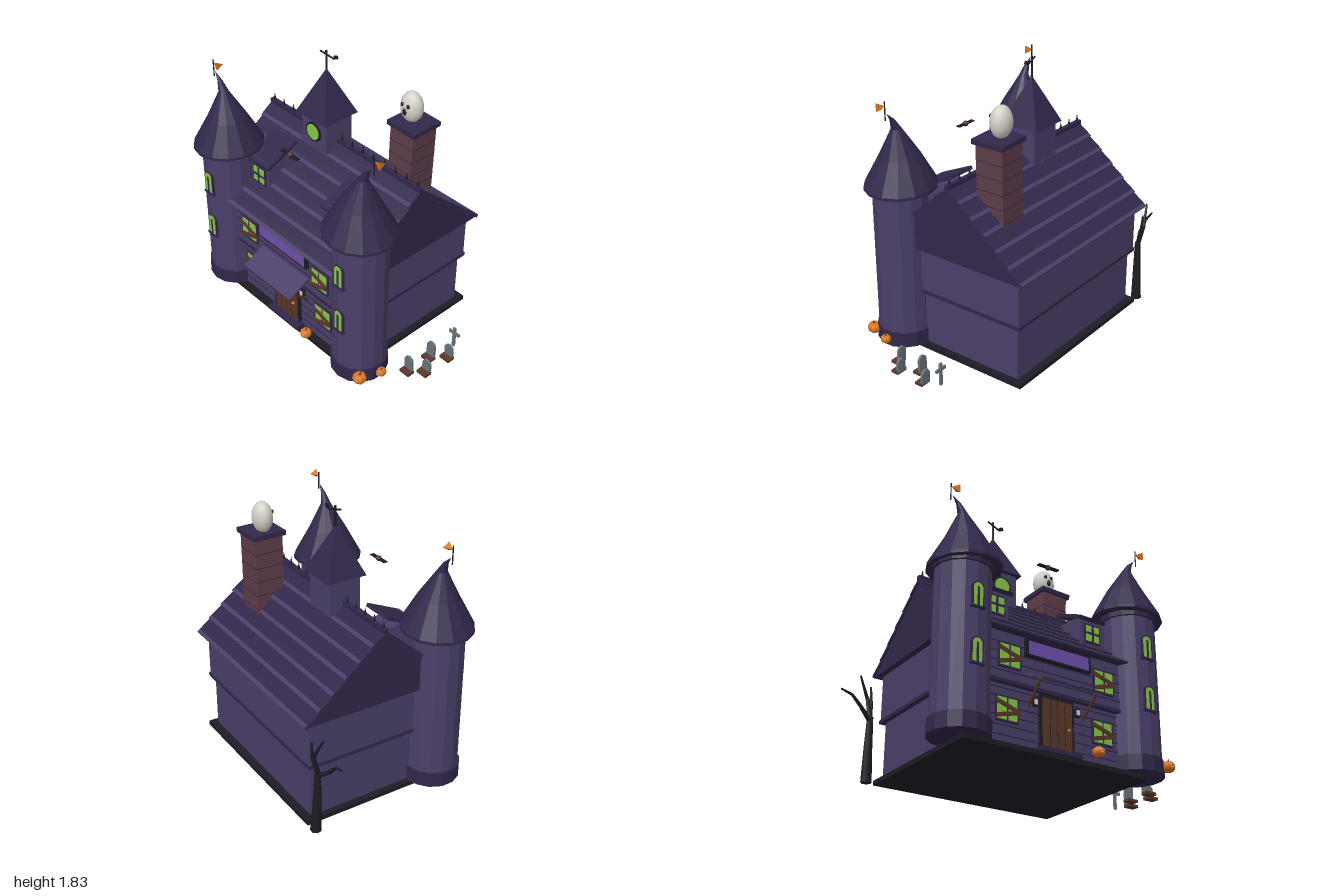
import * as THREE from 'three';

const mat = (name, color) => Object.assign(new THREE.MeshStandardMaterial({ color }), { name });
const M = {
  wall: mat('wall purple', 0x4a3f68), roof: mat('roof dark purple', 0x32274a),
  black: mat('near black', 0x1e1c24), glow: mat('window green', 0x88c646),
  wood: mat('wood brown', 0x5a3828), orange: mat('pumpkin orange', 0xd8741f),
  brick: mat('brick red', 0x5e3c48), bone: mat('bone white', 0xd4d1c8),
  stone: mat('grave grey', 0x68747c), sign: mat('sign violet', 0x6c50ac),
};

function add(parent, name, geo, material, x = 0, y = 0, z = 0) {
  const m = new THREE.Mesh(geo, material);
  m.name = name;
  m.position.set(x, y, z);
  parent.add(m);
  return m;
}
function group(parent, name, x = 0, y = 0, z = 0) {
  const g = new THREE.Group();
  g.name = name;
  g.position.set(x, y, z);
  parent.add(g);
  return g;
}
const box = (p, name, m, w, h, d, x, y, z) => add(p, name, new THREE.BoxGeometry(w, h, d), m, x, y, z);

// faceted normals without changing the material
function flat(geo) {
  const g = geo.index ? geo.toNonIndexed() : geo;
  g.computeVertexNormals();
  return g;
}
function ball(p, name, m, r, x, y, z, sx = 1, sy = 1, sz = 1) {
  const b = add(p, name, new THREE.SphereGeometry(r, 14, 10), m, x, y, z);
  b.scale.set(sx, sy, sz);
  return b;
}
// tapered rod between two points
function rod(p, name, m, a, b, r0, r1 = r0) {
  const A = new THREE.Vector3(...a), B = new THREE.Vector3(...b), d = B.clone().sub(A);
  const r = add(p, name, new THREE.CylinderGeometry(r1, r0, d.length(), 7), m);
  r.position.copy(A).add(B).multiplyScalar(0.5);
  r.quaternion.setFromUnitVectors(new THREE.Vector3(0, 1, 0), d.normalize());
  return r;
}
function arch(w, h, depth) {
  const s = new THREE.Shape();
  s.moveTo(-w / 2, 0);
  s.lineTo(w / 2, 0);
  s.lineTo(w / 2, h - w / 2);
  s.absarc(0, h - w / 2, w / 2, 0, Math.PI, false);
  s.closePath();
  return new THREE.ExtrudeGeometry(s, { depth, bevelEnabled: false, curveSegments: 8 });
}

function tower(house, s) {
  const t = group(house, s < 0 ? 'rightTower' : 'leftTower', s * 0.64, 0, 0.375);
  const drum = (name, m, r, y0, y1) =>
    add(t, name, flat(new THREE.CylinderGeometry(r, r, y1 - y0, 14)), m, 0, (y0 + y1) / 2, 0);
  drum('towerWall', M.wall, 0.176, 0.1, 1.1);
  drum('towerPlinth', M.roof, 0.188, 0.03, 0.13);
  drum('towerCollar', M.roof, 0.192, 1.075, 1.115);
  // crooked pointed roof, tip bent outwards
  const prof = [[0, 1.1], [0.235, 1.1], [0.235, 1.118], [0.13, 1.31], [0.033, 1.485], [0.016, 1.55], [0, 1.6]];
  const hat = new THREE.LatheGeometry(prof.map(p => new THREE.Vector2(...p)), 14);
  const pos = hat.attributes.position;
  for (let i = 0; i < pos.count; i++) {
    const x = pos.getX(i), y = pos.getY(i), k = (y - 1.1) / 0.5;
    pos.setX(i, x + s * (0.098 * k ** 6 - 0.01));
    pos.setY(i, y - s * x * 0.05);
  }
  add(t, 'towerRoof', flat(hat), M.roof);
  rod(t, 'flagPole', M.black, [s * 0.1, 1.56, 0], [s * 0.1, 1.68, 0], 0.004);
  const flag = add(t, 'flag', flat(new THREE.ConeGeometry(0.033, 0.055, 3, 1, false, Math.PI)), M.orange, s * 0.1 + 0.03, 1.655, 0);
  flag.rotation.z = Math.PI / 2;
  for (const y of [0.42, 0.775]) {
    const w = group(t, 'archedWindow', 0, y, 0.165);
    add(w, 'windowFrame', arch(0.084, 0.168, 0.016), M.roof);
    add(w, 'windowPane', arch(0.062, 0.148, 0.004), M.glow, 0, 0.01, 0.015);
    box(w, 'mullion', M.roof, 0.014, 0.12, 0.006, 0, 0.07, 0.019);
    box(w, 'sill', M.roof, 0.096, 0.012, 0.03, 0, 0, 0.01);
  }
}

function pane(p, name, w, h, x, y, z) {
  const g = group(p, name, x, y, z);
  box(g, 'windowFrame', M.roof, w + 0.024, h + 0.024, 0.014, 0, 0, 0);
  box(g, 'windowPane', M.glow, w, h, 0.008, 0, 0, 0.006);
  return g;
}
function boardedWindow(house, x, y, z) {
  const g = pane(house, 'boardedWindow', 0.138, 0.136, x, y, z);
  box(g, 'mullion', M.roof, 0.008, 0.136, 0.004, 0, 0, 0.011);
  [[0.026, -0.3], [-0.024, 0.26]].forEach(([dy, a], i) => {
    box(g, 'board', M.wood, 0.165, 0.024, 0.009, 0, dy - 0.01, 0.016 + i * 0.006).rotation.z = a;
  });
}

function mainRoof(house) {
  const r = group(house, 'mainRoof', 0, 0, -0.06);
  const s = new THREE.Shape([[-0.55, 0.73], [0.55, 0.73], [0, 1.205]].map(p => new THREE.Vector2(...p)));
  const geo = new THREE.ExtrudeGeometry(s, { depth: 1.39, bevelEnabled: false }).translate(0, 0, -0.695).rotateY(Math.PI / 2);
  add(r, 'gableBody', geo, M.roof);
  const len = 0.732, n = 6, step = len / n;
  for (const turn of [0, Math.PI]) {
    const slope = group(r, 'roofSlope', 0, 1.21, 0);
    slope.rotation.set(0.713, turn, 0, 'YXZ');
    for (let i = 0; i < n; i++) {
      const c = group(slope, 'shingleCourse', 0, 0, (i + 0.5) * step);
      c.rotation.x = -0.1;
      box(c, 'shingles', M.roof, 1.41, 0.02, step, 0, 0, 0);
      box(c, 'courseEdge', M.wall, 1.4, 0.01, 0.026, 0, 0.007, step / 2 - 0.012);
    }
  }
  box(r, 'ridge', M.roof, 1.41, 0.03, 0.03, 0, 1.222, 0);
  for (let i = -7; i <= 7; i++)
    add(r, 'ridgeSpike', new THREE.ConeGeometry(0.011, 0.055, 6), M.black, i * 0.0965, 1.26, 0);
}

function dormer(house, x) {
  const d = group(house, 'dormer', x, 0, 0);
  box(d, 'dormerBox', M.wall, 0.18, 0.22, 0.24, 0, 0.97, 0.21);
  box(d, 'dormerRoof', M.roof, 0.225, 0.024, 0.27, 0, 1.11, 0.228).rotation.x = 0.42;
  const w = pane(d, 'dormerWindow', 0.105, 0.11, 0, 0.96, 0.332);
  box(w, 'mullion', M.roof, 0.014, 0.11, 0.006, 0, 0, 0.011);
  box(w, 'mullion', M.roof, 0.105, 0.014, 0.006, 0, 0, 0.011);
}

function clockTurret(house) {
  const t = group(house, 'clockTurret', -0.147, 0, -0.06);
  box(t, 'turretWall', M.wall, 0.23, 0.235, 0.22, 0, 1.272, 0);
  add(t, 'turretRoof', flat(new THREE.ConeGeometry(0.198, 0.315, 4, 1, false, Math.PI / 4)), M.roof, 0, 1.542, 0);
  const disc = (name, m, r, z) => {
    add(t, name, new THREE.CylinderGeometry(r, r, 0.012, 24), m, 0, 1.28, z).rotation.x = Math.PI / 2;
  };
  disc('clockRim', M.black, 0.068, 0.114);
  disc('clockFace', M.glow, 0.055, 0.118);
  // weather vane
  rod(t, 'vanePole', M.black, [0, 1.69, 0], [0, 1.825, 0], 0.007);
  rod(t, 'vaneArm', M.black, [-0.045, 1.81, 0.01], [0.06, 1.785, -0.01], 0.006);
  box(t, 'vaneTail', M.black, 0.03, 0.022, 0.01, 0.075, 1.802, -0.012).rotation.z = 0.4;
}

function chimney(house) {
  const c = group(house, 'chimney', 0.42, 0.9, -0.25);
  c.rotation.z = -0.03;
  box(c, 'chimneyStack', M.brick, 0.195, 0.58, 0.2, 0, 0.29, 0);
  for (let i = 1; i < 6; i++) box(c, 'mortarLine', M.roof, 0.197, 0.005, 0.202, 0, i * 0.095, 0);
  box(c, 'chimneyCap', M.roof, 0.23, 0.032, 0.235, 0, 0.594, 0);
  const g = group(house, 'ghost', 0.415, 1.6, -0.252);
  ball(g, 'ghostBody', M.bone, 0.105, 0, 0, 0, 0.76, 1, 0.63);
  for (const x of [-0.024, 0.024]) ball(g, 'ghostEye', M.black, 0.014, x, 0.03, 0.06, 0.8, 1, 0.7);
  ball(g, 'ghostMouth', M.black, 0.02, 0, -0.014, 0.063, 0.75, 1.2, 0.6);
}

function porch(house) {
  const p = group(house, 'porch');
  box(p, 'doorFrame', M.black, 0.25, 0.36, 0.03, 0, 0.215, 0.425);
  box(p, 'door', M.wood, 0.215, 0.335, 0.012, 0, 0.21, 0.438);
  for (const x of [-0.054, 0, 0.054]) box(p, 'doorGroove', M.black, 0.003, 0.335, 0.003, x, 0.21, 0.444);
  ball(p, 'doorKnob', M.orange, 0.011, 0.078, 0.2, 0.452);
  box(p, 'doorStep', M.roof, 0.3, 0.025, 0.08, 0, 0.04, 0.45);
  box(p, 'canopy', M.wall, 0.463, 0.014, 0.18, 0, 0.46, 0.523).rotation.x = 0.46;
  for (const s of [-1, 1]) {
    rod(p, 'canopyBracket', M.wood, [s * 0.2, 0.3, 0.425], [s * 0.205, 0.43, 0.56], 0.009);
    box(p, 'lampBack', M.black, 0.034, 0.05, 0.02, s * 0.155, 0.335, 0.432);
    box(p, 'lampGlass', M.bone, 0.02, 0.032, 0.02, s * 0.155, 0.335, 0.438);
  }
  box(p, 'signFrame', M.black, 0.485, 0.112, 0.025, 0, 0.662, 0.458);
  box(p, 'signPanel', M.sign, 0.45, 0.086, 0.008, 0, 0.662, 0.469);
}

function pumpkin(root, x, y, z, r) {
  const p = group(root, 'pumpkin', x, y, z);
  for (let i = 0; i < 6; i++) {
    const a = i * Math.PI / 3;
    ball(p, 'pumpkinLobe', M.orange, r * 0.68, Math.sin(a) * r * 0.4, 0, Math.cos(a) * r * 0.4, 1, 1.2, 1);
  }
  rod(p, 'pumpkinStem', M.wood, [0, r * 0.6, 0], [r * 0.2, r * 1.2, 0], r * 0.16, r * 0.1);
  for (const s of [-1, 1]) ball(p, 'pumpkinEye', M.bone, r * 0.14, s * r * 0.35, r * 0.22, r * 0.98, 1, 1, 0.5);
  ball(p, 'pumpkinMouth', M.bone, r * 0.2, 0, -r * 0.25, r * 1.05, 1.5, 0.5, 0.4);
}

function grave(root, x, z, h, cross, lean) {
  const g = group(root, cross ? 'graveCross' : 'gravestone', x, 0.02, z);
  if (cross) {
    box(g, 'crossPost', M.stone, 0.02, h, 0.014, 0, h / 2, 0);
    box(g, 'crossArm', M.stone, 0.085, 0.02, 0.014, 0, h * 0.72, 0);
  } else {
    add(g, 'headstone', arch(0.066, h, 0.016), M.stone, 0, 0, -0.008).rotation.z = lean;
    box(g, 'graveMound', M.wood, 0.078, 0.018, 0.055, 0, 0, 0.022);
  }
}

function deadTree(root) {
  const t = group(root, 'deadTree');
  const limb = (pts, r0, r1) => pts.slice(1).forEach((p, i) => {
    const k = j => r0 + (r1 - r0) * j / (pts.length - 1);
    rod(t, 'treeLimb', M.black, pts[i], p, k(i), k(i + 1));
  });
  limb([[-0.765, 0, -0.568], [-0.77, 0.22, -0.56], [-0.77, 0.43, -0.555]], 0.036, 0.02);
  limb([[-0.77, 0.4, -0.555], [-0.855, 0.47, -0.52], [-0.92, 0.54, -0.525], [-0.995, 0.565, -0.53]], 0.016, 0.006);
  limb([[-0.77, 0.42, -0.555], [-0.78, 0.56, -0.59], [-0.85, 0.7, -0.565]], 0.018, 0.006);
  limb([[-0.77, 0.42, -0.555], [-0.755, 0.54, -0.585], [-0.76, 0.65, -0.59]], 0.016, 0.006);
}

export function createModel() {
  const root = new THREE.Group();
  root.name = 'hauntedHouse';
  const house = group(root, 'house', -0.035, 0, 0);

  // walls and floors
  box(house, 'foundation', M.black, 1.34, 0.03, 1.06, 0, 0.015, -0.06);
  box(house, 'lowerWalls', M.wall, 1.26, 0.4, 0.96, 0, 0.22, -0.06);
  box(house, 'upperWalls', M.wall, 1.31, 0.33, 1.01, 0, 0.575, -0.06);
  box(house, 'floorBand', M.roof, 1.325, 0.022, 1.025, 0, 0.415, -0.06);
  for (const y of [0.09, 0.15, 0.21, 0.27, 0.33, 0.38]) box(house, 'sidingLine', M.roof, 1, 0.006, 0.006, 0, y, 0.421);
  for (const y of [0.48, 0.54, 0.6, 0.66]) box(house, 'sidingLine', M.roof, 1, 0.006, 0.006, 0, y, 0.446);

  mainRoof(house);
  clockTurret(house);
  chimney(house);
  porch(house);
  for (const s of [-1, 1]) {
    tower(house, s);
    dormer(house, s * 0.37);
    boardedWindow(house, s * 0.352, 0.25, 0.424);
    boardedWindow(house, s * 0.352, 0.578, 0.45);
  }

  // hovering bat
  const bat = group(root, 'bat', -0.037, 1.32, 0.37);
  ball(bat, 'batBody', M.wood, 0.019, 0, 0, 0);
  for (const s of [-1, 1]) box(bat, 'batWing', M.black, 0.065, 0.006, 0.03, s * 0.045, 0, 0);

  pumpkin(root, 0.225, 0.09, 0.5, 0.036);
  pumpkin(root, 0.76, 0.095, 0.515, 0.042);
  pumpkin(root, 0.805, 0.083, 0.37, 0.032);
  grave(root, 0.87, 0.18, 0.11, false, 0.06);
  grave(root, 0.95, 0.105, 0.095, false, -0.06);
  grave(root, 0.877, -0.01, 0.125, false, -0.04);
  grave(root, 0.957, -0.1, 0.095, false, 0.05);
  grave(root, 0.912, -0.19, 0.155, true, 0);
  deadTree(root);
  return root;
}
